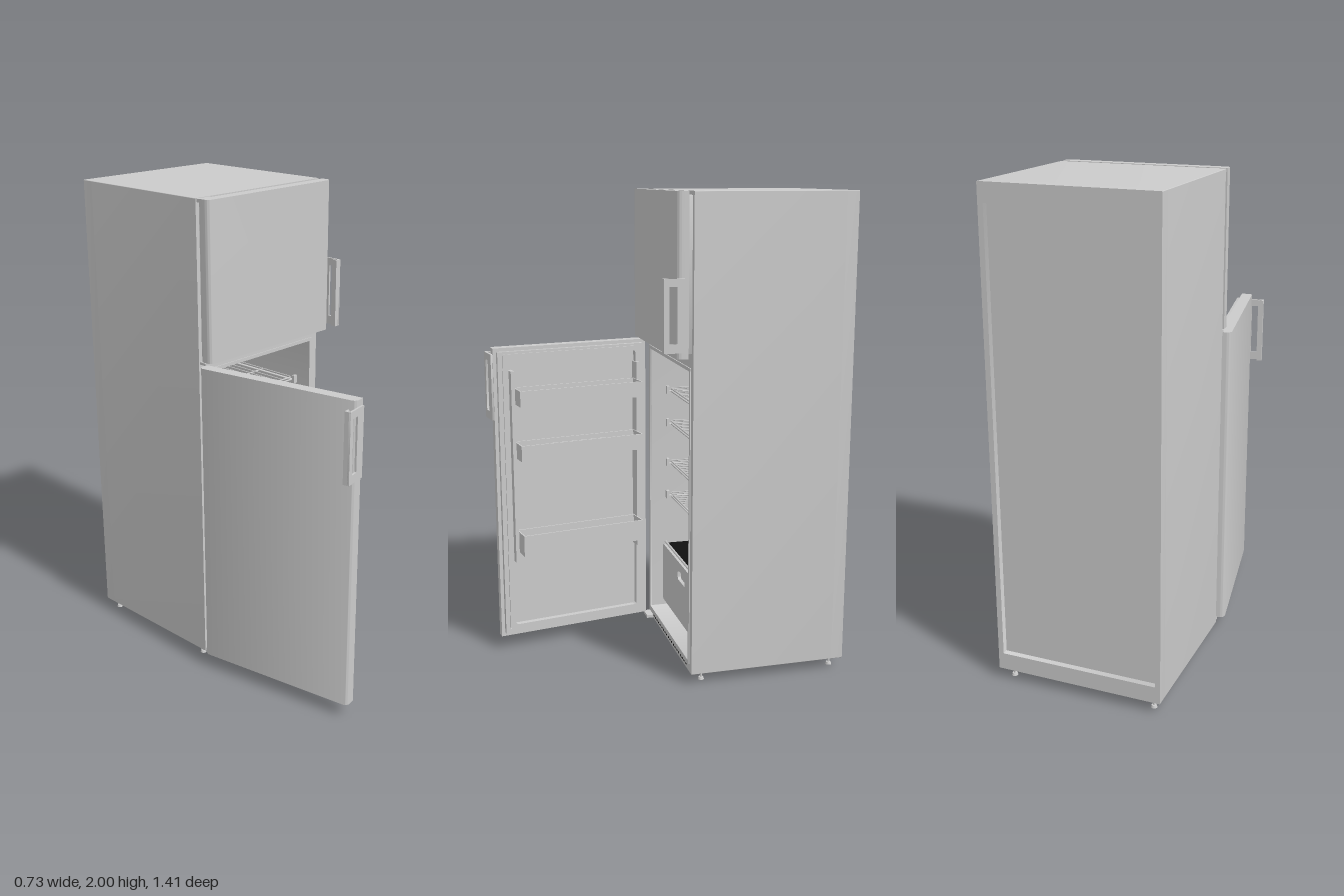
import * as THREE from 'three';
import { toCreasedNormals } from 'three/addons/utils/BufferGeometryUtils.js';

const grey = new THREE.MeshStandardMaterial({ color: 0xcccccc });
const black = new THREE.MeshStandardMaterial({ color: 0x111111 });

function add(parent, name, geometry, material = grey) {
  const mesh = new THREE.Mesh(geometry, material);
  mesh.name = name;
  parent.add(mesh);
  return mesh;
}

function group(parent, name) {
  const g = new THREE.Group();
  g.name = name;
  parent.add(g);
  return g;
}

// Box given by its limits on each axis
function box(parent, name, x0, x1, y0, y1, z0, z1, material) {
  const mesh = add(parent, name, new THREE.BoxGeometry(x1 - x0, y1 - y0, z1 - z0), material);
  mesh.position.set((x0 + x1) / 2, (y0 + y1) / 2, (z0 + z1) / 2);
  return mesh;
}

// Rectangular outline with rounded corners
function roundRect(path, x0, x1, y0, y1, r) {
  path.moveTo(x0 + r, y0);
  path.lineTo(x1 - r, y0);
  path.absarc(x1 - r, y0 + r, r, -Math.PI / 2, 0);
  path.lineTo(x1, y1 - r);
  path.absarc(x1 - r, y1 - r, r, 0, Math.PI / 2);
  path.lineTo(x0 + r, y1);
  path.absarc(x0 + r, y1 - r, r, Math.PI / 2, Math.PI);
  path.lineTo(x0, y0 + r);
  path.absarc(x0 + r, y0 + r, r, Math.PI, Math.PI * 1.5);
  return path;
}

// Upright plate between z0 and z1, optionally with a window
function plate(parent, name, outer, hole, z0, z1, r = 0.003) {
  const shape = roundRect(new THREE.Shape(), ...outer, r);
  if (hole) shape.holes.push(roundRect(new THREE.Path(), ...hole, r));
  const geo = new THREE.ExtrudeGeometry(shape, { depth: z1 - z0, bevelEnabled: false, curveSegments: 6 });
  const mesh = add(parent, name, toCreasedNormals(geo, 0.6));
  mesh.position.z = z0;
  return mesh;
}

function rod(parent, name, a, b, r) {
  const path = new THREE.LineCurve3(new THREE.Vector3(...a), new THREE.Vector3(...b));
  return add(parent, name, new THREE.TubeGeometry(path, 1, r, 6));
}

// Door with its hinge edge at x = 0, inner face at z = 0 and front at z = 0.06
function makeDoor(parent, name, y0, y1, handleY) {
  const door = group(parent, name);
  const s = new THREE.Shape();
  s.moveTo(0, 0.012);
  s.lineTo(0.7, 0.012);
  s.lineTo(0.7, 0.04);
  s.absarc(0.68, 0.04, 0.02, 0, Math.PI / 2);
  s.lineTo(0.02, 0.06);
  s.absarc(0.02, 0.04, 0.02, Math.PI / 2, Math.PI);
  const slab = new THREE.ExtrudeGeometry(s, { depth: y1 - y0, bevelEnabled: false, curveSegments: 8 });
  slab.rotateX(Math.PI / 2).translate(0, y1, 0);
  add(door, 'doorPanel', toCreasedNormals(slab, 0.6));
  plate(door, 'doorGasket', [0.015, 0.685, y0 + 0.015, y1 - 0.015],
    [0.035, 0.665, y0 + 0.035, y1 - 0.035], -0.006, 0.012);

  // Handle: windowed side plate with a hooked grip
  const handle = group(door, 'handle');
  const h0 = handleY, h1 = handleY + 0.285;
  const side = plate(handle, 'handleSide', [0.015, 0.113, h0, h1], [0.06, 0.092, h0 + 0.035, h1 - 0.03], 0, 0.008);
  side.rotation.y = -Math.PI / 2;
  side.position.set(0.708, 0, 0);
  box(handle, 'handleGrip', 0.682, 0.708, h0, h1, 0.105, 0.113);
  box(handle, 'handleLip', 0.682, 0.69, h0, h1, 0.09, 0.106);
  return door;
}

// Open bin fixed to the inside of the door
function doorBin(door, y0, y1) {
  const bin = group(door, 'doorBin');
  box(bin, 'binFloor', 0.064, 0.618, y0, y0 + 0.006, -0.096, 0);
  box(bin, 'binFront', 0.062, 0.62, y0, y1, -0.1, -0.094);
  box(bin, 'binBack', 0.064, 0.618, y0, y1, -0.006, 0);
  for (const x of [0.062, 0.614]) box(bin, 'binEnd', x, x + 0.006, y0, y1, -0.096, 0.01);
  return bin;
}

function wireShelf(parent, y) {
  const shelf = group(parent, 'wireShelf');
  const x0 = -0.285, x1 = 0.295, z0 = -0.63, z1 = -0.12;
  for (let i = 0; i <= 20; i++) {
    const x = x0 + (x1 - x0) * i / 20;
    rod(shelf, 'shelfWire', [x, y + 0.004, z0], [x, y + 0.004, z1], 0.0025);
  }
  for (const z of [z0, -0.46, -0.29, z1]) rod(shelf, 'shelfCrossBar', [x0, y, z], [x1, y, z], 0.004);
  rod(shelf, 'shelfFrontRail', [x0, y - 0.012, z1], [x1, y - 0.012, z1], 0.004);
  // Rails moulded on the side walls
  for (const [a, b] of [[-0.31, -0.288], [0.298, 0.316]]) {
    box(shelf, 'shelfRail', a, b, y - 0.025, y - 0.012, z0, z1 + 0.02);
    box(shelf, 'shelfStop', a, b, y - 0.012, y + 0.01, z1 + 0.008, z1 + 0.02);
  }
}

export function createModel() {
  const fridge = new THREE.Group();
  fridge.name = 'refrigerator';

  // Cabinet shell with the main compartment and a recessed rear panel
  const cabinet = group(fridge, 'cabinet');
  plate(cabinet, 'cabinetShell', [-0.34, 0.36, 0.045, 2], [-0.31, 0.316, 0.09, 1.31], -0.65, -0.03, 0.002);
  box(cabinet, 'rearPanel', -0.338, 0.358, 0.047, 1.998, -0.675, -0.65);
  plate(cabinet, 'rearFrame', [-0.34, 0.36, 0.045, 2], [-0.318, 0.338, 0.115, 1.925], -0.7, -0.65, 0.002);
  plate(cabinet, 'compartmentTrim', [-0.322, 0.328, 0.078, 1.322], [-0.308, 0.314, 0.092, 1.308], -0.034, -0.026);
  for (let i = 0; i < 20; i++) {
    const x = -0.26 + i * 0.028;
    box(cabinet, 'ventSlot', x, x + 0.012, 0.058, 0.064, -0.031, -0.0285, black);
  }

  // Hinges
  for (const [y0, y1] of [[0.047, 0.06], [1.35, 1.36], [1.985, 1.998]])
    box(cabinet, 'hinge', -0.335, -0.27, y0, y1, -0.04, 0.0);

  // Feet
  for (const x of [-0.3, 0.312]) for (const z of [-0.085, -0.66]) {
    const foot = group(fridge, 'foot');
    foot.position.set(x, 0, z);
    add(foot, 'footPad', new THREE.CylinderGeometry(0.01, 0.013, 0.01, 16)).position.y = 0.005;
    add(foot, 'footStem', new THREE.CylinderGeometry(0.004, 0.004, 0.04, 10)).position.y = 0.028;
  }

  // Interior: shelves, cooling plate, drawer and its dark cover
  const interior = group(fridge, 'interior');
  for (const y of [1.125, 0.975, 0.79, 0.638]) wireShelf(interior, y);
  plate(interior, 'coolingPlate', [-0.122, 0.133, 1.147, 1.295], null, -0.63, -0.605, 0.03);
  for (const x of [-0.075, 0.085]) box(interior, 'coolingBracket', x - 0.01, x + 0.01, 1.285, 1.31, -0.65, -0.605);

  const drawer = group(interior, 'drawer');
  plate(drawer, 'drawerFront', [-0.3, 0.308, 0.125, 0.395], [-0.05, 0.062, 0.312, 0.355], -0.1, -0.085, 0.012);
  box(drawer, 'drawerGripCup', -0.055, 0.067, 0.307, 0.36, -0.118, -0.1);
  box(drawer, 'drawerFloor', -0.28, 0.29, 0.125, 0.135, -0.63, -0.1);
  box(drawer, 'drawerBack', -0.28, 0.29, 0.125, 0.385, -0.635, -0.625);
  for (const x of [-0.285, 0.285]) box(drawer, 'drawerSide', x - 0.005, x + 0.005, 0.125, 0.385, -0.63, -0.1);
  box(interior, 'drawerCover', -0.285, 0.3, 0.394, 0.402, -0.648, -0.105, black);
  rod(interior, 'coverFrontTrim', [-0.305, 0.4, -0.1], [0.312, 0.4, -0.1], 0.006);

  // Upper door, closed
  const upper = makeDoor(fridge, 'freezerDoor', 1.365, 2, 1.39);
  upper.position.set(-0.34, 0, -0.022);

  // Lower door, swung open
  const lower = makeDoor(fridge, 'fridgeDoor', 0.06, 1.35, 1.04);
  lower.position.set(-0.31, 0, -0.01);
  lower.rotation.y = -THREE.MathUtils.degToRad(80);
  plate(lower, 'doorLiner', [0.035, 0.665, 0.095, 1.325], [0.058, 0.64, 0.115, 1.305], -0.012, 0.013, 0.012);
  for (const x of [0.048, 0.622]) box(lower, 'binSupport', x, x + 0.016, 0.41, 1.255, -0.036, 0.012);
  doorBin(lower, 1.112, 1.18);
  doorBin(lower, 0.876, 0.945);
  doorBin(lower, 0.455, 0.548);

  // Egg rack in the middle bin
  const rack = group(lower, 'eggRack');
  box(rack, 'rackBase', 0.2, 0.47, 0.915, 0.92, -0.09, -0.01);
  for (let i = 0; i < 6; i++) for (const z of [-0.07, -0.03]) {
    const ring = add(rack, 'eggRing', new THREE.TorusGeometry(0.016, 0.004, 6, 14));
    ring.rotation.x = Math.PI / 2;
    ring.position.set(0.225 + i * 0.044, 0.923, z);
  }
  return fridge;
}
